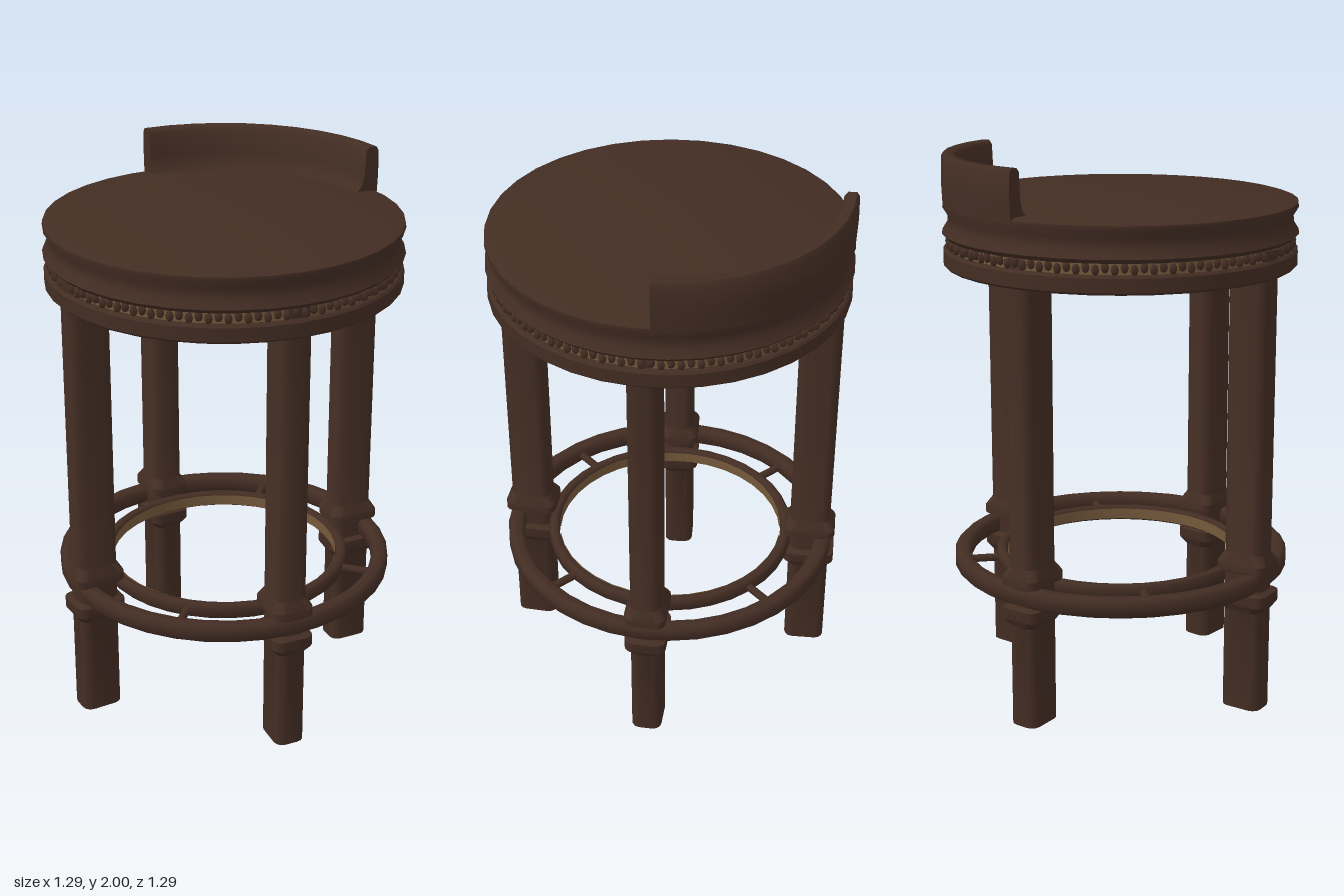
import * as THREE from 'three';
import { mergeGeometries, toCreasedNormals } from 'three/addons/utils/BufferGeometryUtils.js';

const SEGMENTS = 36;
const darkWood = new THREE.MeshStandardMaterial({ color: 0x432d23, side: THREE.DoubleSide });
darkWood.name = 'dark brown wood';
const tan = new THREE.MeshStandardMaterial({ color: 0x75593b, side: THREE.DoubleSide });
tan.name = 'tan underside';

const toVectors = (points) => points.map(([r, y]) => new THREE.Vector2(r, y));

function addMesh(parent, name, geometry, material) {
  const mesh = new THREE.Mesh(geometry, material);
  mesh.name = name;
  parent.add(mesh);
  return mesh;
}

function lathe(points, crease = 0.7, start = 0, sweep = Math.PI * 2, segments = SEGMENTS) {
  return toCreasedNormals(new THREE.LatheGeometry(toVectors(points), segments, start, sweep), crease);
}

// Closed ring profile with rounded-off corners
function ringProfile(r0, r1, y0, y1, c) {
  return [
    [r0 + c, y0], [r1 - c, y0], [r1, y0 + c], [r1, y1 - c],
    [r1 - c, y1], [r0 + c, y1], [r0, y1 - c], [r0, y0 + c], [r0 + c, y0],
  ];
}

// Outline of a rounded rectangle, counterclockwise seen from above
function roundedOutline(halfX, halfZ, radius) {
  const outline = [];
  [[1, 1], [-1, 1], [-1, -1], [1, -1]].forEach(([sx, sz], corner) => {
    for (let k = 0; k <= 3; k++) {
      const t = (corner + k / 3) * Math.PI / 2;
      outline.push([
        sx * (halfX - radius) + radius * Math.cos(t),
        -(sz * (halfZ - radius) + radius * Math.sin(t)),
      ]);
    }
  });
  return outline;
}

// Leg lofted through rounded rectangles, with collars above and below the footrest
function legGeometry() {
  const levels = [
    [0, 0], [0.38, 0], [0.41, 0.02], [0.45, 0.02], [0.46, 0],
    [0.525, 0], [0.535, 0.02], [0.565, 0.02], [0.6, 0], [1.7, 0],
  ];
  const positions = [];
  const indices = [];
  let n = 0;
  levels.forEach(([y, grow]) => {
    const outline = roundedOutline(0.076 + grow, 0.056 + grow, 0.032);
    n = outline.length;
    outline.forEach(([x, z]) => positions.push(x, y, z));
  });
  for (let i = 0; i < levels.length - 1; i++) {
    for (let j = 0; j < n; j++) {
      const a = i * n + j;
      const b = i * n + (j + 1) % n;
      indices.push(a, b, a + n, b, b + n, a + n);
    }
  }
  const top = (levels.length - 1) * n;
  for (let j = 1; j < n - 1; j++) {
    indices.push(0, j + 1, j, top, top + j, top + j + 1);
  }
  const geometry = new THREE.BufferGeometry();
  geometry.setAttribute('position', new THREE.Float32BufferAttribute(positions, 3));
  geometry.setIndex(indices);
  return toCreasedNormals(geometry, 0.6);
}

function buildSeat() {
  const seat = new THREE.Group();
  seat.name = 'seat';

  // Cushion with a concave side
  addMesh(seat, 'cushion', lathe([
    [0.6, 1.7], [0.63, 1.705], [0.643, 1.72], [0.624, 1.75], [0.622, 1.785],
    [0.64, 1.815], [0.638, 1.83], [0.615, 1.837], [0, 1.837],
  ]), darkWood);

  // Lower frame ring
  addMesh(seat, 'seatFrame', lathe(ringProfile(0.575, 0.64, 1.6, 1.665, 0.008)), darkWood);

  // Recessed underside and inner wall
  addMesh(seat, 'underside', lathe([
    [0, 1.74], [0.46, 1.74], [0.46, 1.7], [0.572, 1.7], [0.572, 1.612],
  ]), tan);

  // Studded trim between cushion and frame
  addMesh(seat, 'trimBand', lathe([[0.616, 1.655], [0.616, 1.712]]), tan);
  const studs = [];
  const count = 120;
  for (let i = 0; i < count; i++) {
    const angle = i / count * Math.PI * 2;
    const stud = new THREE.SphereGeometry(0.0145, 6, 4);
    stud.scale(1, 1.35, 1);
    stud.translate(0.618 * Math.sin(angle), 1.686 + (i % 2 ? 0.004 : -0.004), 0.618 * Math.cos(angle));
    studs.push(stud);
  }
  addMesh(seat, 'trimStuds', mergeGeometries(studs), darkWood);
  return seat;
}

function buildBackrest() {
  const back = new THREE.Group();
  back.name = 'backrest';
  const profile = [
    [0.6, 1.81], [0.638, 1.81], [0.642, 1.9], [0.64, 1.985], [0.63, 2], [0.6, 2],
    [0.588, 1.985], [0.584, 1.9], [0.575, 1.86], [0.555, 1.836], [0.6, 1.81],
  ];
  const half = 0.785;
  addMesh(back, 'backrestShell', lathe(profile, 0.9, Math.PI - half, half * 2, 10), darkWood);
  // Flat ends
  [-1, 1].forEach((side) => {
    const cap = new THREE.ShapeGeometry(new THREE.Shape(toVectors(profile.slice(0, -1))));
    cap.rotateY(Math.PI / 2 + side * half);
    addMesh(back, side < 0 ? 'leftBackrestEnd' : 'rightBackrestEnd', cap, darkWood);
  });
  return back;
}

function buildFootrest() {
  const rest = new THREE.Group();
  rest.name = 'footrest';
  addMesh(rest, 'outerFootRing', lathe(ringProfile(0.565, 0.625, 0.458, 0.528, 0.014), 0.9), darkWood);
  addMesh(rest, 'innerFootRing', lathe(ringProfile(0.43, 0.468, 0.465, 0.522, 0.01), 0.9), darkWood);
  addMesh(rest, 'innerRingLining', lathe([[0.427, 0.514], [0.427, 0.473]]), tan);
  // Spacer pegs joining the two rings
  for (let i = 0; i < 4; i++) {
    const peg = new THREE.CylinderGeometry(0.015, 0.015, 0.12, 8);
    peg.rotateZ(Math.PI / 2);
    peg.translate(0.515, 0.493, 0);
    peg.rotateY(i * Math.PI / 2);
    addMesh(rest, 'spacerPeg', peg, darkWood);
  }
  return rest;
}

export function createModel() {
  const stool = new THREE.Group();
  stool.name = 'stool';
  stool.add(buildSeat(), buildBackrest(), buildFootrest());

  // Four legs turned to face outward
  const geometry = legGeometry();
  [
    ['frontLeftLeg', 0.35, 0.415],
    ['frontRightLeg', -0.38, 0.4],
    ['backLeftLeg', 0.4, -0.36],
    ['backRightLeg', -0.38, -0.385],
  ].forEach(([name, x, z]) => {
    const leg = addMesh(stool, name, geometry, darkWood);
    leg.position.set(x, 0, z);
    leg.rotation.y = Math.atan2(-z, x);
  });
  return stool;
}
